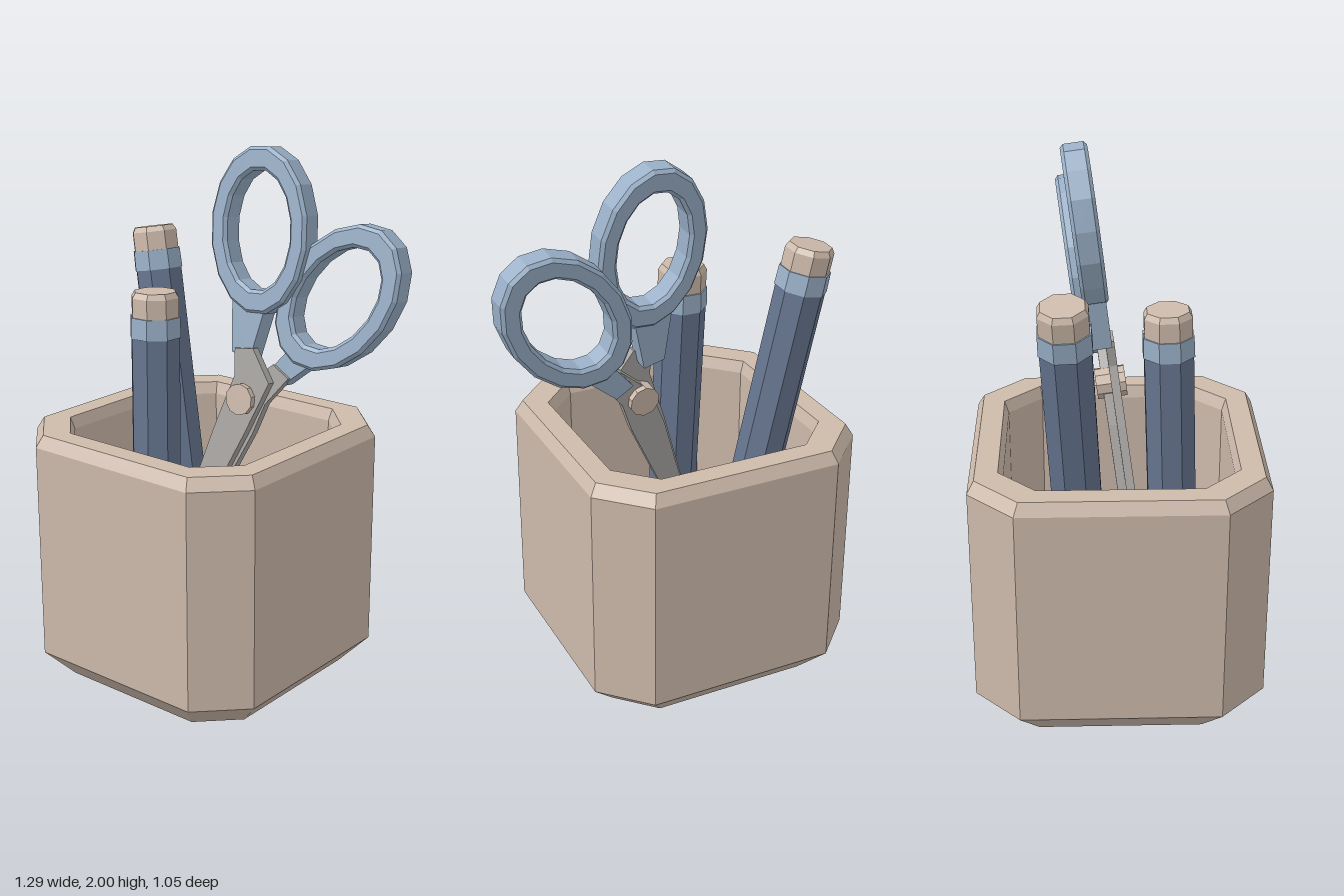
import * as THREE from 'three';

const flat = (name, color) => {
  const m = new THREE.MeshStandardMaterial({ color, flatShading: true });
  m.name = name;
  return m;
};

function add(parent, name, geometry, material, x = 0, y = 0, z = 0) {
  const mesh = new THREE.Mesh(geometry, material);
  mesh.name = name;
  mesh.position.set(x, y, z);
  parent.add(mesh);
  return mesh;
}

// Loft of chamfered squares; each section is [half width, half flat side, y]
function chamferedLoft(sections) {
  const rings = sections.map(([h, f, y]) =>
    [[h, -f], [h, f], [f, h], [-f, h], [-h, f], [-h, -f], [-f, -h], [f, -h]].map(([x, z]) => [x, y, z]));
  const pos = [];
  for (let s = 0; s < rings.length - 1; s++) {
    for (let i = 0; i < 8; i++) {
      const j = (i + 1) % 8;
      const a = rings[s][i], b = rings[s][j], c = rings[s + 1][i], d = rings[s + 1][j];
      pos.push(...a, ...c, ...d, ...a, ...d, ...b);
    }
  }
  const g = new THREE.BufferGeometry();
  g.setAttribute('position', new THREE.Float32BufferAttribute(pos, 3));
  g.computeVertexNormals();
  return g;
}

// Flat plate from an outline, centred on z = 0
function plate(shape, depth, bevel = 0) {
  const g = new THREE.ExtrudeGeometry(shape, {
    depth: depth - 2 * bevel, bevelEnabled: bevel > 0, bevelSize: bevel,
    bevelThickness: bevel, bevelOffset: -bevel, bevelSegments: 1,
  });
  return g.translate(0, 0, -depth / 2 + bevel);
}

const outline = (pts) => new THREE.Shape(pts.map(([x, y]) => new THREE.Vector2(x, y)));

function ellipse(rx, ry, sides) {
  const pts = [];
  for (let i = 0; i < sides; i++) {
    const a = ((i + 0.5) / sides) * Math.PI * 2;
    pts.push(new THREE.Vector2(rx * Math.cos(a), ry * Math.sin(a)));
  }
  return pts;
}

export function createModel() {
  const tan = flat('warm tan', 0xcdbaab);
  const blue = flat('light blue', 0x9ab0c8);
  const slate = flat('slate blue', 0x66758f);
  const steel = flat('steel grey', 0xaaa7a3);
  const model = new THREE.Group();
  model.name = 'penHolder';

  // Hollow holder with bevelled foot, rim and inner lip
  add(model, 'holder', chamferedLoft([
    [0, 0, 0], [0.43, 0.295, 0], [0.525, 0.36, 0.105], [0.525, 0.36, 0.93],
    [0.5, 0.345, 0.975], [0.42, 0.287, 0.975], [0.405, 0.28, 0.93],
    [0.405, 0.28, 0.3], [0, 0, 0.3],
  ]), tan, -0.12);

  // Pencils, built downward from the top centre and leaned to reach the floor
  function pencil(name, top, foot) {
    const g = new THREE.Group();
    g.name = name;
    const axis = top.clone().sub(foot);
    const length = axis.length();
    const part = (label, rTop, rBottom, from, to, mat) => add(g, label,
      new THREE.CylinderGeometry(rTop, rBottom, to - from, 8, 1, false, Math.PI / 8),
      mat, 0, (from + to) / 2, 0);
    part('body', 0.093, 0.093, -length, -0.165, slate);
    part('band', 0.095, 0.097, -0.165, -0.09, blue);
    part('endCap', 0.09, 0.09, -0.09, -0.02, tan);
    part('endBevel', 0.078, 0.09, -0.02, 0, tan);
    g.position.copy(top);
    g.quaternion.setFromUnitVectors(new THREE.Vector3(0, 1, 0), axis.normalize());
    model.add(g);
  }
  pencil('tallPencil', new THREE.Vector3(-0.53, 1.635, -0.187), new THREE.Vector3(-0.28, 0.29, -0.12));
  pencil('shortPencil', new THREE.Vector3(-0.205, 1.49, 0.17), new THREE.Vector3(-0.178, 0.29, 0.21));

  // Scissors, laid out around the pivot and leaned back along their own axis
  const scissors = new THREE.Group();
  scissors.name = 'scissors';
  const lean = THREE.MathUtils.degToRad(7.6), axisTurn = THREE.MathUtils.degToRad(20);
  scissors.quaternion.setFromAxisAngle(
    new THREE.Vector3(Math.cos(axisTurn), -Math.sin(axisTurn), 0), -lean);
  scissors.position.set(0.067, 1.097, -0.02);
  model.add(scissors);

  // Each half: finger loop, neck and blade
  const halves = [
    {
      name: 'front', loop: [0.004, 0.61], turn: 4, loopZ: -0.015, bladeZ: 0.016,
      neck: [[-0.085, 0.36], [-0.069, 0.164], [0.011, 0.143], [0.058, 0.33]],
      blade: [[-0.05, 0.18], [-0.042, 0.08], [-0.117, -0.13], [-0.285, -0.66], [-0.28, -0.73],
        [-0.24, -0.68], [0.02, -0.13], [0.11, 0.075], [0.03, 0.19]],
    },
    {
      name: 'rear', loop: [0.331, 0.41], turn: -39, loopZ: -0.05, bladeZ: -0.016,
      neck: [[0.175, 0.225], [0.07, 0.106], [0.135, 0.065], [0.255, 0.165]],
      blade: [[0.1, 0.14], [-0.03, 0.03], [-0.1, -0.13], [-0.27, -0.66], [-0.27, -0.73],
        [-0.225, -0.66], [0.035, -0.13], [0.08, -0.01], [0.17, 0.1]],
    },
  ];
  for (const h of halves) {
    const ring = new THREE.Shape(ellipse(0.208, 0.3, 16));
    ring.holes.push(new THREE.Path(ellipse(0.138, 0.214, 16)));
    const loop = add(scissors, h.name + 'FingerLoop', plate(ring, 0.095, 0.012), blue, ...h.loop, h.loopZ);
    loop.rotation.z = THREE.MathUtils.degToRad(h.turn);
    add(scissors, h.name + 'Neck', plate(outline(h.neck), 0.075), blue, 0, 0, h.loopZ);
    add(scissors, h.name + 'Blade', plate(outline(h.blade), 0.032), steel, 0, 0, h.bladeZ);
  }

  // Pivot screw through both blades
  const screw = add(scissors, 'pivotScrew', new THREE.CylinderGeometry(0.058, 0.058, 0.11, 10), tan);
  screw.rotation.x = Math.PI / 2;

  return model;
}
